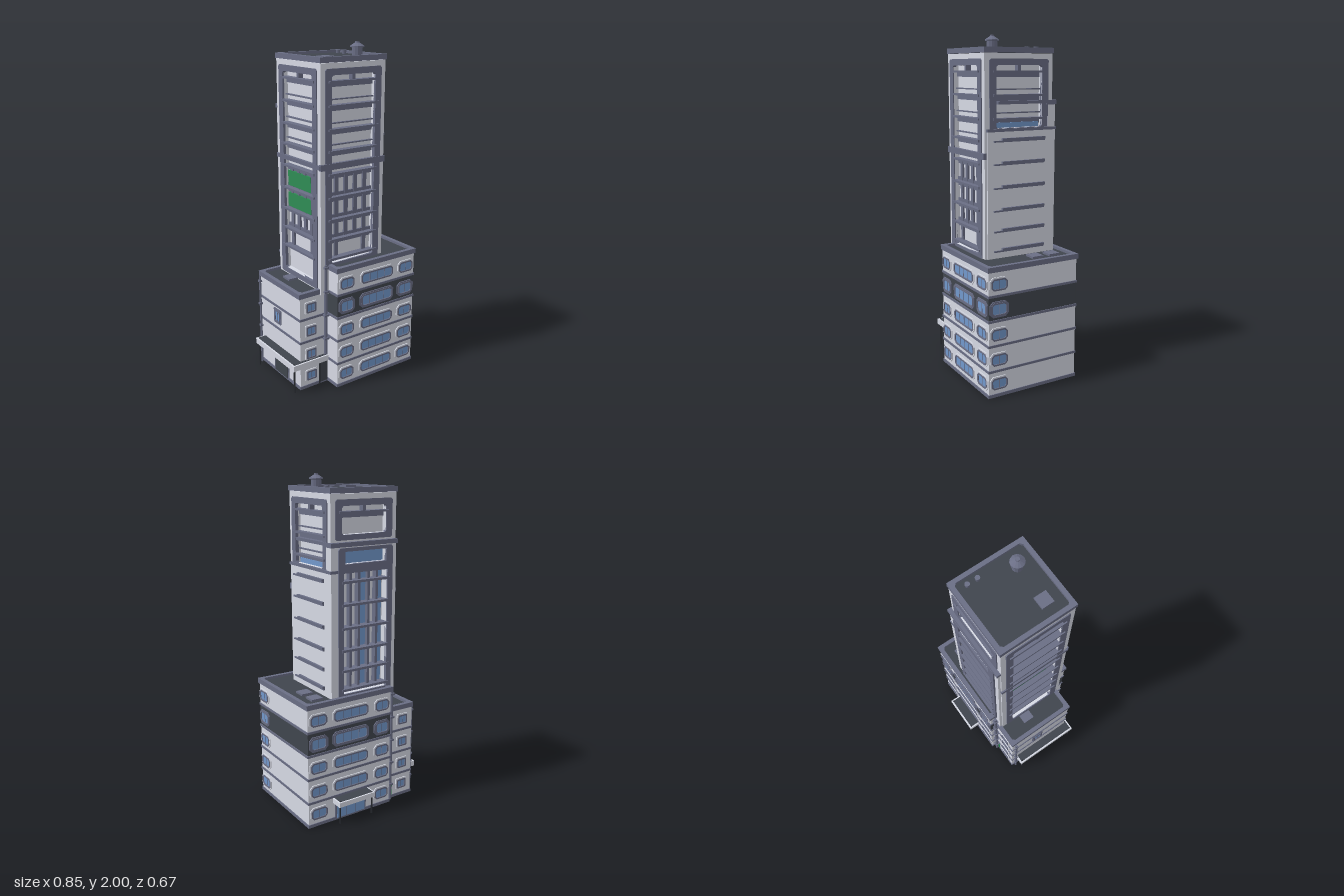
import * as THREE from 'three';

const mat = (name, color) => Object.assign(new THREE.MeshStandardMaterial({ color }), { name });

export function createModel() {
  const model = new THREE.Group();
  model.name = 'officeTower';
  const wall = mat('pale wall', 0xd6d9e4), trim = mat('slate trim', 0x6a6e85), dark = mat('dark roof', 0x40454d);
  const glass = mat('blue glass', 0x7298cc), green = mat('green panel', 0x2f8c55), post = mat('black post', 0x282b31);

  const add = (parent, name, geo, m) => {
    const mesh = new THREE.Mesh(geo, m);
    mesh.name = name;
    parent.add(mesh);
    return mesh;
  };
  // box given by its extents
  const box = (parent, name, m, x0, x1, y0, y1, z0, z1) => {
    const b = add(parent, name, new THREE.BoxGeometry(x1 - x0, y1 - y0, z1 - z0), m);
    b.position.set((x0 + x1) / 2, (y0 + y1) / 2, (z0 + z1) / 2);
  };
  // rectangle outline with cut corners
  const outline = (x0, x1, y0, y1, c = 0) => {
    const p = c
      ? [[x0 + c, y0], [x1 - c, y0], [x1, y0 + c], [x1, y1 - c], [x1 - c, y1], [x0 + c, y1], [x0, y1 - c], [x0, y0 + c]]
      : [[x0, y0], [x1, y0], [x1, y1], [x0, y1]];
    return p.map(([x, y]) => new THREE.Vector2(x, y));
  };
  const pierced = (outer, holes, depth) => {
    const s = new THREE.Shape(outer);
    holes.forEach(h => s.holes.push(new THREE.Path(h)));
    return new THREE.ExtrudeGeometry(s, { depth, bevelEnabled: false });
  };
  // upright plate with openings, from z to z + depth
  const plate = (parent, name, m, outer, holes, z, depth) => {
    add(parent, name, pierced(outer, holes, depth), m).position.z = z;
  };
  // flat roof with a parapet and corner gussets
  const roof = (name, x0, x1, z0, z1, top, rim = 0.025) => {
    box(model, name + 'Deck', dark, x0 + 0.01, x1 - 0.01, top - 0.03, top - 0.015, z0 + 0.01, z1 - 0.01);
    const g = pierced(outline(x0, x1, -z1, -z0), [outline(x0 + rim, x1 - rim, -z1 + rim, -z0 - rim, 0.014)], 0.03);
    add(model, name + 'Parapet', g.rotateX(-Math.PI / 2), trim).position.y = top - 0.03;
  };
  // group whose local +z points out of one side
  const side = (name, turn, z = 0) => {
    const g = new THREE.Group();
    g.name = name;
    g.rotation.y = turn * Math.PI / 2;
    g.position.z = z;
    model.add(g);
    return g;
  };
  // window with an outer surround, a slim inner frame and mullions
  const windowUnit = (parent, x, y, z, w, h, surround, cut = 0.02) => {
    const rect = (inset, c) => outline(x - w / 2 + inset, x + w / 2 - inset, y - h / 2 + inset, y + h / 2 - inset, c);
    plate(parent, 'windowSurround', surround, rect(0, cut), [rect(0.008, cut * 0.8)], z, 0.006);
    plate(parent, 'windowFrame', trim, rect(0.008, cut * 0.8), [rect(0.017, cut * 0.5)], z, 0.009);
    plate(parent, 'windowGlass', glass, rect(0.012, cut * 0.6), [], z - 0.004, 0.007);
    const n = w > 0.2 ? 4 : 2, half = h / 2 - 0.015;
    for (let i = 1; i < n; i++) {
      const mx = x - w / 2 + 0.017 + (w - 0.034) * i / n;
      box(parent, 'windowMullion', trim, mx - 0.0015, mx + 0.0015, y - half, y + half, z, z + 0.005);
    }
  };

  // ---- main podium and side wing
  box(model, 'basePlate', trim, -0.17, 0.42, 0, 0.006, -0.265, 0.33);
  box(model, 'wingBasePlate', trim, -0.365, -0.17, 0, 0.006, -0.23, 0.23);
  box(model, 'podiumLower', wall, -0.165, 0.415, 0.005, 0.45, -0.26, 0.325);
  box(model, 'podiumDarkStorey', dark, -0.165, 0.415, 0.45, 0.59, -0.26, 0.325);
  box(model, 'podiumUpper', wall, -0.165, 0.415, 0.59, 0.735, -0.26, 0.325);
  box(model, 'wing', wall, -0.36, -0.165, 0.005, 0.59, -0.225, 0.225);
  [0.012, 0.155, 0.305, 0.45, 0.594].forEach((y, i) => {
    box(model, 'podiumBand', trim, -0.17, 0.42, y - 0.007, y + 0.007, -0.265, 0.33);
    if (i < 4) box(model, 'wingBand', trim, -0.365, -0.165, y - 0.007, y + 0.007, -0.23, 0.23);
  });
  roof('podiumRoof', -0.175, 0.423, -0.268, 0.332, 0.762);
  roof('wingRoof', -0.367, -0.17, -0.23, 0.23, 0.615);

  const front = side('frontWindows', 0), right = side('rightWindows', 1);
  const back = side('backWindows', 2), left = side('leftDetails', 3);
  [0.08, 0.222, 0.37, 0.518, 0.66].forEach((y, i) => {
    const h = i === 3 ? 0.092 : 0.084, m = i === 3 ? trim : wall;
    [[-0.1, 0.115], [0.123, 0.255], [0.345, 0.125]].forEach(([x, w]) => {
      windowUnit(front, x, y, 0.325, w, h, m);
      if (i > 0 || w < 0.2) windowUnit(back, -x, y, 0.26, w, h, m);
    });
    windowUnit(right, -0.26, y, 0.415, 0.12, h, m);
    if (i < 4) {
      windowUnit(front, -0.285, y, 0.225, 0.084, 0.076, wall, 0.006);
      windowUnit(back, 0.285, y, 0.225, 0.084, 0.076, wall, 0.006);
    }
  });
  windowUnit(left, -0.02, 0.385, 0.36, 0.08, 0.095, trim, 0.006);

  // doors
  box(back, 'backDoorFrame', trim, -0.235, -0.015, 0.01, 0.115, 0.255, 0.266);
  for (let i = 0; i < 3; i++) box(back, 'backDoorGlass', glass, -0.225 + i * 0.068, -0.161 + i * 0.068, 0.012, 0.105, 0.262, 0.269);
  box(left, 'sideDoorFrame', trim, -0.06, 0.1, 0.01, 0.135, 0.355, 0.366);
  box(left, 'sideDoor', dark, -0.05, 0.09, 0.012, 0.125, 0.362, 0.369);
  box(front, 'serviceDoor', dark, -0.222, -0.172, 0.01, 0.15, 0.22, 0.232);
  box(back, 'greenDoor', green, 0.178, 0.212, 0.02, 0.1, 0.222, 0.23);

  // canopies on thin posts
  const canopy = (name, x0, x1, z0, z1, y0, y1, posts) => {
    box(model, name, wall, x0, x1, y0, y1, z0, z1);
    box(model, name + 'Top', dark, x0 + 0.01, x1 - 0.01, y1 - 0.002, y1 + 0.002, z0 + 0.01, z1 - 0.01);
    posts.forEach(([x, z]) => {
      add(model, name + 'Post', new THREE.CylinderGeometry(0.005, 0.005, y1, 8), post).position.set(x, y1 / 2 + 0.003, z);
    });
  };
  canopy('sideCanopy', -0.423, -0.175, -0.19, 0.25, 0.15, 0.185, [[-0.41, -0.17], [-0.41, 0.235], [-0.232, 0.237]]);
  canopy('backCanopy', -0.003, 0.25, -0.335, -0.25, 0.115, 0.145, [[0.01, -0.32], [0.236, -0.32]]);

  // drain pipes
  [[-0.188, 0.238, 0.19, 0.76, 0.011], [-0.375, -0.203, 0, 0.59, 0.007], [-0.19, -0.238, 0, 0.75, 0.01]].forEach(([x, z, y0, y1, r]) => {
    add(model, 'drainPipe', new THREE.CylinderGeometry(r, r, y1 - y0, 10), trim).position.set(x, (y0 + y1) / 2, z);
    for (let y = y0 + 0.1; y < y1; y += 0.15) box(model, 'pipeCollar', trim, x - r * 1.4, x + r * 1.4, y, y + 0.012, z - r * 1.4, z + r * 1.4);
  });

  // ---- tower
  const CZ = 0.0175, H = 0.222, IN = 0.192;
  const floors = [0.79, 0.905, 1.025, 1.155, 1.29, 1.42, 1.54, 1.67, 1.8];
  box(model, 'towerCore', wall, -IN, IN, 0.58, 1.9, CZ - IN, CZ + IN);
  // wall with a recessed framed bay, floor ledges, spandrels and sills
  const bay = (g, y0, y1, base = 0.58) => {
    const a = 0.15;
    plate(g, 'towerWall', wall, outline(-H, H, base, 1.9), [outline(-a, a, y0, y1)], IN - 0.002, H - IN + 0.002);
    plate(g, 'bayFrame', trim, outline(-a - 0.042, a + 0.042, y0 - 0.03, y1 + 0.035, 0.01), [outline(-a, a, y0, y1, 0.01)], H - 0.015, 0.021);
    floors.filter(y => y > y0 && y < y1).forEach(y => {
      box(g, 'floorLedge', trim, -a - 0.022, a + 0.022, y - 0.006, y + 0.006, IN, H + 0.013);
      box(g, 'spandrel', trim, -a, a, y - 0.03, y, IN - 0.005, IN + 0.008);
      if (y > 1.35 && y < 1.75) box(g, 'sill', trim, -a, a, y + 0.03, y + 0.037, IN - 0.005, IN + 0.016);
    });
    box(g, 'bayLamp', trim, -0.01, 0.01, y1 - 0.03, y1, IN, H);
  };
  const tf = side('towerFront', 0, CZ), tr = side('towerRight', 1, CZ), tb = side('towerBack', 2, CZ), tl = side('towerLeft', 3, CZ);
  bay(tf, 0.765, 1.835);
  bay(tl, 0.64, 1.835);
  bay(tr, 1.49, 1.835);
  bay(tb, 1.68, 1.835, 1.6);

  // pillars and sill bands between the lower windows
  [tf, tl].forEach(g => {
    [-0.1, -0.033, 0.033, 0.1].forEach((x, i) =>
      box(g, 'bayPillar', trim, x - 0.013, x + 0.013, i % 3 ? 0.9 : 0.77, 1.29, IN - 0.005, IN + 0.012));
    floors.slice(1, 4).forEach(y => box(g, 'sillBand', trim, -0.15, 0.15, y, y + 0.024, IN - 0.005, IN + 0.01));
  });
  box(tf, 'frontBelt', trim, -0.225, 0.225, 1.32, 1.355, H - 0.01, H + 0.01);
  box(tl, 'leftBelt', trim, -0.225, 0.225, 1.325, 1.35, H - 0.01, H + 0.008);
  [[1.035, 1.122], [1.165, 1.257]].forEach(([y0, y1]) => box(tl, 'greenPanel', green, -0.14, 0.1, y0, y1, IN - 0.005, IN + 0.014));

  // right side: glazed strip, belt, and slab with paired ledges
  box(tr, 'rightStripGlass', glass, -0.14, 0.14, 1.492, 1.52, IN - 0.005, IN + 0.012);
  box(tr, 'rightBelt', trim, -0.14, 0.235, 1.622, 1.64, IN, H + 0.01);
  box(tr, 'rightSlab', wall, -0.208, 0.24, 0.74, 1.475, 0.18, 0.23);
  box(tr, 'rightSlabCap', trim, -0.212, 0.243, 1.472, 1.488, 0.18, 0.237);
  floors.slice(0, 6).forEach(y => {
    box(tr, 'rightLedge', trim, -0.17, 0.165, y - 0.006, y + 0.003, 0.22, 0.239);
    box(tr, 'rightLedgeStep', trim, -0.118, 0.165, y + 0.003, y + 0.016, 0.22, 0.245);
  });

  // back bay: partly glazed grid below a wide window, under its own cap
  const BZ = 0.24, openings = [outline(-0.15, 0.15, 0.765, 1.47), outline(-0.14, 0.14, 1.52, 1.59)];
  plate(tb, 'backWall', wall, outline(-0.23, 0.215, 0.58, 1.62), openings, IN - 0.002, BZ - IN);
  plate(tb, 'backFrame', trim, outline(-0.185, 0.185, 0.74, 1.61, 0.012), openings, BZ - 0.012, 0.02);
  box(tb, 'backCap', trim, -0.235, 0.22, 1.615, 1.64, 0.18, BZ + 0.006);
  box(tb, 'backWideGlass', glass, -0.14, 0.14, 1.52, 1.59, 0.2, 0.209);
  [[0, 0.026], [0.118, 0.02]].forEach(([x, w]) => box(tb, 'backGlass', glass, x - w, x + w, 0.77, 1.47, 0.195, 0.202));
  [-0.09, -0.033, 0.033, 0.09].forEach(x => box(tb, 'backMullion', trim, x - 0.008, x + 0.008, 0.77, 1.47, 0.19, 0.225));
  floors.slice(0, 6).forEach(y => box(tb, 'backLedge', trim, -0.165, 0.165, y - 0.007, y + 0.007, 0.19, BZ + 0.014));

  // tower roof and its equipment
  roof('towerRoof', -0.227, 0.227, CZ - 0.227, CZ + 0.227, 1.932);
  const vent = [[0, 0], [0.03, 0], [0.03, 0.05], [0.04, 0.052], [0.04, 0.06], [0.012, 0.078], [0.012, 0.085], [0, 0.085]];
  const ventGeo = new THREE.LatheGeometry(vent.map(([r, y]) => new THREE.Vector2(r, y)), 12).toNonIndexed();
  ventGeo.computeVertexNormals();
  add(model, 'roofVent', ventGeo, trim).position.set(0.108, 1.915, 0.127);
  [-0.13, -0.07].forEach(z => add(model, 'smallVent', new THREE.CylinderGeometry(0.014, 0.012, 0.025, 12), trim).position.set(0.163, 1.927, z));
  [[-0.112, 0.127, 1.915], [0.306, -0.155, 0.745], [0.306, -0.042, 0.745], [-0.25, -0.04, 0.598]].forEach(([x, z, y]) =>
    box(model, 'roofUnit', trim, x - 0.036, x + 0.036, y, y + 0.014, z - 0.036, z + 0.036));
  return model;
}
